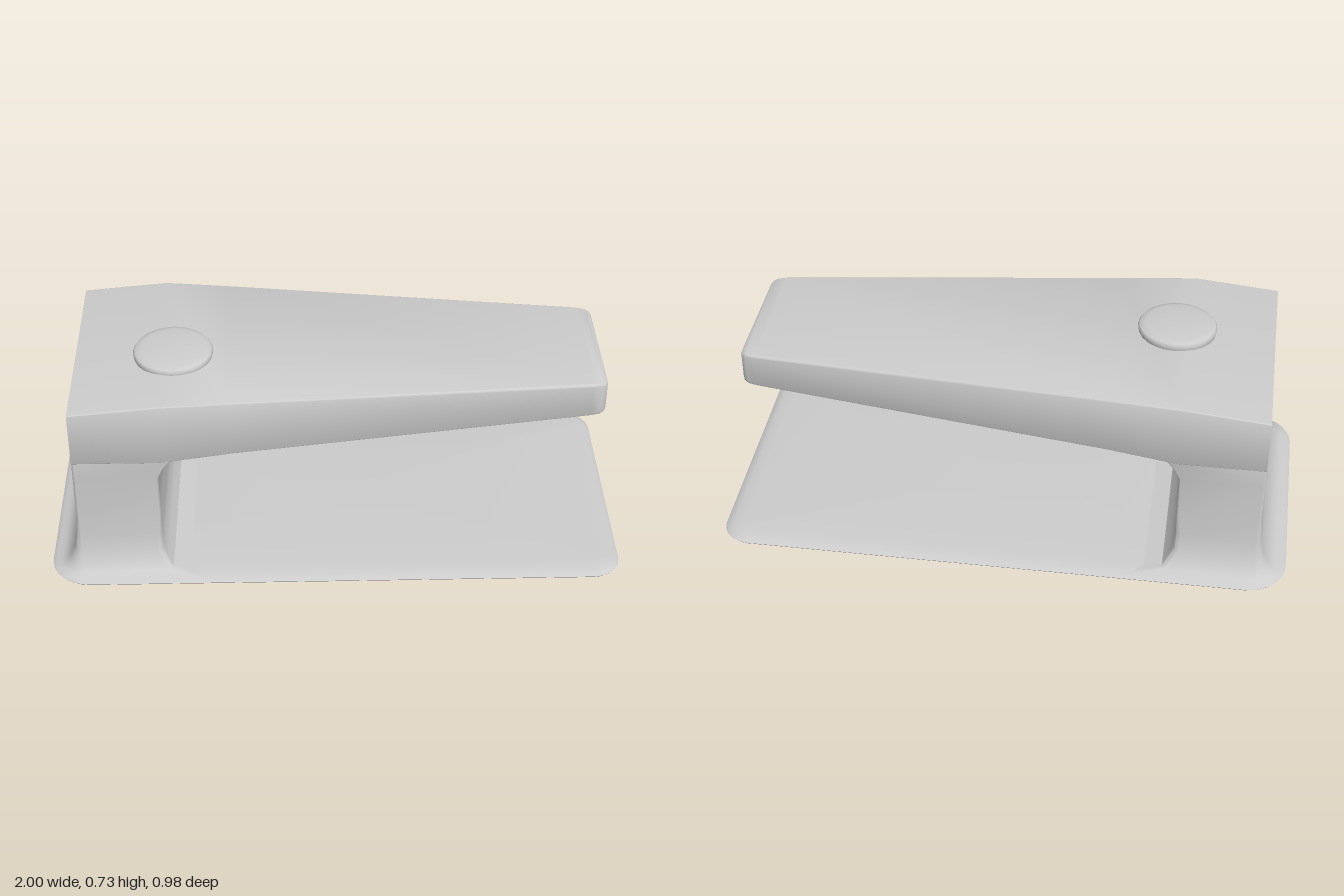
import * as THREE from 'three';
import { toCreasedNormals } from 'three/addons/utils/BufferGeometryUtils.js';

const material = new THREE.MeshStandardMaterial({ color: 0xcccccc });

// Counter-clockwise rounded rectangle; r0 rounds the corners at u0, r1 those at u1
function roundedRect(u0, u1, half, r0, r1, steps = 5) {
  const corners = [
    [u1 - r1, half - r1, r1, 0],
    [u0 + r0, half - r0, r0, 1],
    [u0 + r0, -half + r0, r0, 2],
    [u1 - r1, -half + r1, r1, 3],
  ];
  const points = [];
  for (const [u, v, r, quarter] of corners) {
    for (let i = 0; i <= steps; i++) {
      const a = (quarter + i / steps) * Math.PI / 2;
      points.push([u + r * Math.cos(a), v + r * Math.sin(a)]);
    }
  }
  return points;
}

// Horizontal section at height y, and upright section at position x
const level = (y, x0, x1, half, r0, r1) =>
  roundedRect(x0, x1, half, r0, r1).map(([u, v]) => [u, y, -v]);
const slice = (x, half, y0, y1, r) =>
  roundedRect(y0, y1, half, r, r).map(([u, v]) => [x, u, v]);

// Skin through the rings, closed by a fan at each end
function loft(name, rings, crease) {
  const n = rings[0].length;
  const last = rings.length - 1;
  const positions = rings.flat(2);
  const index = [];
  for (let i = 0; i < last; i++) {
    for (let j = 0; j < n; j++) {
      const k = (j + 1) % n;
      const a = i * n + j, b = i * n + k;
      index.push(a, b, b + n, a, b + n, a + n);
    }
  }
  for (const end of [0, last]) {
    const centre = positions.length / 3;
    for (let axis = 0; axis < 3; axis++) {
      positions.push(rings[end].reduce((sum, p) => sum + p[axis], 0) / n);
    }
    for (let j = 0; j < n; j++) {
      const a = end * n + j, b = end * n + (j + 1) % n;
      if (end === 0) index.push(centre, b, a);
      else index.push(centre, a, b);
    }
  }
  const geometry = new THREE.BufferGeometry();
  geometry.setAttribute('position', new THREE.Float32BufferAttribute(positions, 3));
  geometry.setIndex(index);
  return named(name, toCreasedNormals(geometry, crease));
}

function named(name, geometry) {
  const mesh = new THREE.Mesh(geometry, material);
  mesh.name = name;
  return mesh;
}

export function createModel() {
  const model = new THREE.Group();
  model.name = 'deskDevice';

  // Thin base plate with a soft rim: [height, inset]
  const rim = [[0.002, 0.06], [0.006, 0.025], [0.012, 0.006], [0.019, 0],
    [0.026, 0.008], [0.033, 0.03], [0.037, 0.07]];
  model.add(loft('basePlate', rim.map(([y, d]) =>
    level(y, -1 + d, 1 - d, 0.49 - d, 0.14 - d, 0.1 - d)), 0.7));

  // Upright post, flared into the base and towards the arm: [y, back, front, half depth, corner]
  const post = [
    [0.024, -0.993, -0.4, 0.483, 0.12],
    [0.036, -0.965, -0.5, 0.462, 0.09],
    [0.046, -0.948, -0.57, 0.445, 0.07],
    [0.075, -0.93, -0.588, 0.43, 0.045],
    [0.11, -0.912, -0.604, 0.415, 0.03],
    [0.17, -0.904, -0.606, 0.407, 0.018],
    [0.25, -0.898, -0.606, 0.4, 0.01],
    [0.41, -0.897, -0.606, 0.397, 0.008],
    [0.45, -0.897, -0.585, 0.397, 0.008],
    [0.48, -0.897, -0.56, 0.393, 0.008],
  ];
  model.add(loft('post', post.map(([y, x0, x1, half, r]) =>
    level(y, x0, x1, half, r, Math.min(r, 0.02))), 0.8));

  // Tapering arm, ending in a shallow scooped face: [x, half depth, bottom, top, corner]
  const arm = [
    [-0.897, 0.396, 0.472, 0.674, 0.006],
    [-0.6, 0.396, 0.472, 0.702, 0.006],
    [-0.35, 0.372, 0.49, 0.698, 0.007],
    [0.88, 0.249, 0.538, 0.668, 0.01],
    [0.912, 0.243, 0.54, 0.666, 0.012],
    [0.926, 0.234, 0.543, 0.663, 0.014],
    [0.932, 0.22, 0.548, 0.658, 0.014],
    [0.926, 0.195, 0.554, 0.652, 0.014],
    [0.91, 0.15, 0.566, 0.64, 0.014],
  ];
  model.add(loft('arm', arm.map(([x, half, y0, y1, r]) => slice(x, half, y0, y1, r)), 0.6));

  // Low domed button on top of the arm
  const dome = [[0.13, -0.03], [0.136, 0], [0.138, 0.012], [0.132, 0.021],
    [0.11, 0.027], [0.06, 0.031], [0, 0.032]].map(([r, y]) => new THREE.Vector2(r, y));
  const button = named('button', new THREE.LatheGeometry(dome, 24));
  button.position.set(-0.555, 0.701, 0.07);
  button.rotation.x = 0.03;
  model.add(button);

  // Small socket ring and pin in the scooped end
  const socket = new THREE.Group();
  socket.name = 'socket';
  const ring = named('socketRing', new THREE.TorusGeometry(0.018, 0.005, 8, 20));
  const pin = named('socketPin', new THREE.SphereGeometry(0.011, 12, 8));
  socket.add(ring, pin);
  socket.rotation.y = Math.PI / 2;
  socket.position.set(0.913, 0.603, -0.015);
  model.add(socket);

  return model;
}
